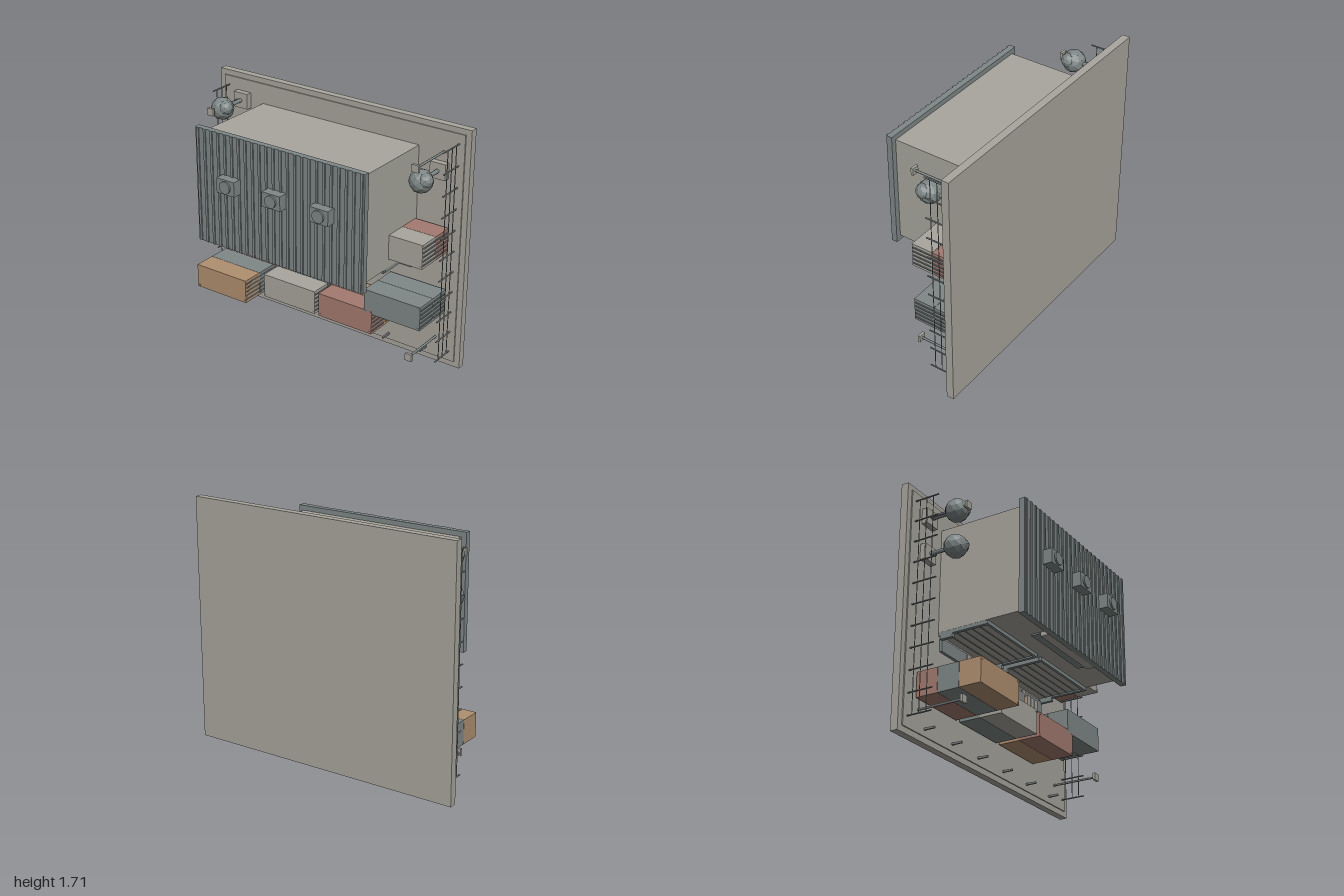
import * as THREE from 'three';

const flat = (name, color) => {
  const m = new THREE.MeshStandardMaterial({ color });
  m.name = name;
  return m;
};

export function createModel() {
  const root = new THREE.Group();
  root.name = 'warehouseYard';
  const grey = flat('concreteGrey', 0xa8a69d);
  const slate = flat('slate', 0x7f8887);
  const tan = flat('tan', 0xb09070);
  const red = flat('brickRed', 0xa47b70);
  const leaf = slate.clone();
  leaf.name = 'foliageSlate';
  leaf.flatShading = true;

  const add = (name, geo, mat, x, y, z, parent = root) => {
    const m = new THREE.Mesh(geo, mat);
    m.name = name;
    m.position.set(x, y, z);
    parent.add(m);
    return m;
  };
  // box from its limits on each axis
  const box = (name, mat, x0, x1, y0, y1, z0, z1, parent = root) =>
    add(name, new THREE.BoxGeometry(x1 - x0, y1 - y0, z1 - z0), mat,
      (x0 + x1) / 2, (y0 + y1) / 2, (z0 + z1) / 2, parent);
  // round post standing out of the ground plate, along z
  const post = (name, mat, r, x, y, z0, z1, parent = root, sides = 8) => {
    const m = add(name, new THREE.CylinderGeometry(r, r, z1 - z0, sides), mat, x, y, (z0 + z1) / 2, parent);
    m.rotation.x = Math.PI / 2;
    return m;
  };
  const group = (name) => {
    const g = new THREE.Group();
    g.name = name;
    root.add(g);
    return g;
  };

  // ground plate and yard surface
  box('groundPlate', grey, -1, 1, 0, 1.705, -0.403, -0.35);
  box('yardSurface', grey, -0.96, 0.96, 0.04, 1.667, -0.35, -0.342);

  // warehouse hall and ribbed roof
  box('hall', grey, -0.628, 0.628, 0.782, 1.525, -0.342, 0.282);
  const roof = group('roof');
  box('roofSlab', slate, -0.665, 0.665, 0.748, 1.56, 0.281, 0.322, roof);
  for (let i = 0; i < 24; i++) {
    const x = -0.644 + i * 0.056;
    box('roofRib', slate, x - 0.009, x + 0.009, 0.748, 1.56, 0.322, 0.329, roof);
  }

  // roof fans
  for (const x of [-0.37, 0, 0.37]) {
    box('fanHousing', slate, x - 0.072, x + 0.072, 1.176, 1.279, 0.322, 0.39);
    post('fanDisc', slate, 0.043, x, 1.228, 0.39, 0.402, root, 20);
  }

  // loading docks: door, frame, bumpers and apron
  for (const s of [-1, 1]) {
    const dock = group('loadingDock');
    const c = s * 0.325;
    box('dockDoor', grey, c - 0.28, c + 0.28, 0.768, 0.784, -0.34, 0.01, dock);
    box('dockLintel', slate, c - 0.3, c + 0.3, 0.757, 0.784, 0.01, 0.03, dock);
    for (const e of [-1, 1]) {
      const x = c + e * 0.29;
      box('dockJamb', slate, x - 0.012, x + 0.012, 0.757, 0.784, -0.34, 0.01, dock);
      box('dockBumper', slate, x - 0.012, x + 0.012, 0.732, 0.757, -0.33, -0.235, dock);
    }
    for (let i = 1; i < 6; i++) {
      const z = -0.34 + i * 0.058;
      box('doorRib', slate, c - 0.28, c + 0.28, 0.763, 0.769, z - 0.003, z + 0.003, dock);
    }
    box('dockApron', slate, c - 0.286, c + 0.286, 0.655, 0.745, -0.342, -0.322, dock);
  }
  box('signBoard', grey, -0.3, 0.3, 0.752, 0.784, 0.22, 0.28);
  box('signTrim', slate, -0.3, 0.3, 0.772, 0.784, 0.15, 0.21);

  // stacked containers, listed from the ground up
  const L = 0.43, W = 0.17, H = 0.155;
  const stacks = [
    [-0.855, 0.25, [red, slate, tan]],
    [-0.385, 0.25, [slate, grey]],
    [0.08, 0.25, [tan, red]],
    [0.45, 0.4, [slate, slate]],
    [0.45, 0.845, [red, grey]],
  ];
  for (const [x, y, mats] of stacks) {
    const stack = group('containerStack');
    mats.forEach((mat, level) => {
      const z = -0.33 + level * (H + 0.002);
      box('container', mat, x, x + L, y, y + W, z, z + H, stack);
      // door bars on the +x end
      for (let i = 0; i < 5; i++) {
        const by = y + 0.025 + i * 0.03;
        box('doorBar', slate, x + L, x + L + 0.006, by - 0.004, by + 0.004, z + 0.008, z + H - 0.008, stack);
      }
      for (const fx of [x + 0.01, x + L - 0.01]) for (const fy of [y + 0.01, y + W - 0.01])
        box('cornerCasting', mat, fx - 0.008, fx + 0.008, fy - 0.008, fy + 0.008, z + H, z + H + 0.002, stack);
    });
  }

  // pallets, two of them loaded with crates
  const pallet = (x, y, loaded) => {
    const g = group('pallet');
    const top = loaded ? -0.256 : -0.318;
    if (loaded) box('crate', tan, x + 0.005, x + 0.13, y + 0.004, y + 0.081, -0.325, top, g);
    for (const e of [0, 0.075]) box('palletRunner', grey, x, x + 0.135, y + e, y + e + 0.01, -0.342, -0.325, g);
    for (let i = 0; i < 3; i++)
      box('palletPlank', grey, x + i * 0.047, x + i * 0.047 + 0.041, y, y + 0.085, top, top + 0.008, g);
  };
  pallet(-0.365, 0.585, true);
  pallet(0.302, 0.585, true);
  pallet(-0.145, 0.517, false);
  for (const x of [-0.312, 0.37]) box('dockStep', grey, x - 0.023, x + 0.023, 0.675, 0.74, -0.33, -0.314);

  // forklift
  const lift = group('forklift');
  box('liftBody', tan, 0.037, 0.161, 0.465, 0.6, -0.318, -0.252, lift);
  box('cabRoof', slate, 0.043, 0.157, 0.508, 0.612, -0.192, -0.18, lift);
  for (const x of [0.05, 0.15]) {
    for (const y of [0.515, 0.603]) box('cabPost', slate, x - 0.005, x + 0.005, y - 0.005, y + 0.005, -0.252, -0.192, lift);
    box('mast', slate, x - 0.006, x + 0.006, 0.455, 0.467, -0.335, -0.19, lift);
    const fx = x < 0.1 ? 0.066 : 0.134;
    box('fork', slate, fx - 0.005, fx + 0.005, 0.34, 0.465, -0.332, -0.322, lift);
  }
  for (const x of [0.035, 0.163]) for (const y of [0.49, 0.585]) {
    const wheel = add('wheel', new THREE.CylinderGeometry(0.024, 0.024, 0.014, 14), slate, x, y, -0.318, lift);
    wheel.rotation.z = Math.PI / 2;
  }

  // side fences
  for (const x of [-0.92, 0.92]) {
    const fence = group('fence');
    for (let i = 0; i < 11; i++) post('fencePost', slate, 0.005, x, 0.112 + i * 0.149, -0.342, -0.165, fence);
    for (const z of [-0.205, -0.257, -0.308])
      add('fenceRail', new THREE.CylinderGeometry(0.003, 0.003, 1.49, 6), slate, x, 0.857, z, fence);
  }

  // corner lamps
  for (const x of [-0.813, 0.813]) for (const y of [0.188, 1.525]) {
    post('lampPole', slate, 0.008, x, y, -0.342, -0.018);
    box('lampHead', grey, x - 0.025, x + 0.025, y - 0.025, y + 0.025, -0.018, 0);
  }

  // trees in planters
  for (const [x, y] of [[-0.792, 1.525], [-0.797, 1.262], [0.795, 1.402]]) {
    const tree = group('tree');
    box('planter', grey, x - 0.058, x + 0.058, y - 0.055, y + 0.055, -0.342, -0.3, tree);
    post('trunk', slate, 0.014, x, y, -0.3, -0.12, tree);
    add('crown', new THREE.IcosahedronGeometry(0.08, 1), leaf, x, y, -0.108, tree);
    add('crownSide', new THREE.IcosahedronGeometry(0.052, 1), leaf, x + 0.04, y + 0.018, -0.092, tree);
    add('crownBack', new THREE.IcosahedronGeometry(0.05, 1), leaf, x - 0.01, y + 0.012, -0.138, tree);
  }

  // bollards along the near edge
  for (let i = 0; i < 6; i++) {
    const x = -0.74 + i * 0.296;
    box('bollard', slate, x - 0.006, x + 0.006, 0.079, 0.092, -0.342, -0.265);
  }
  return root;
}
